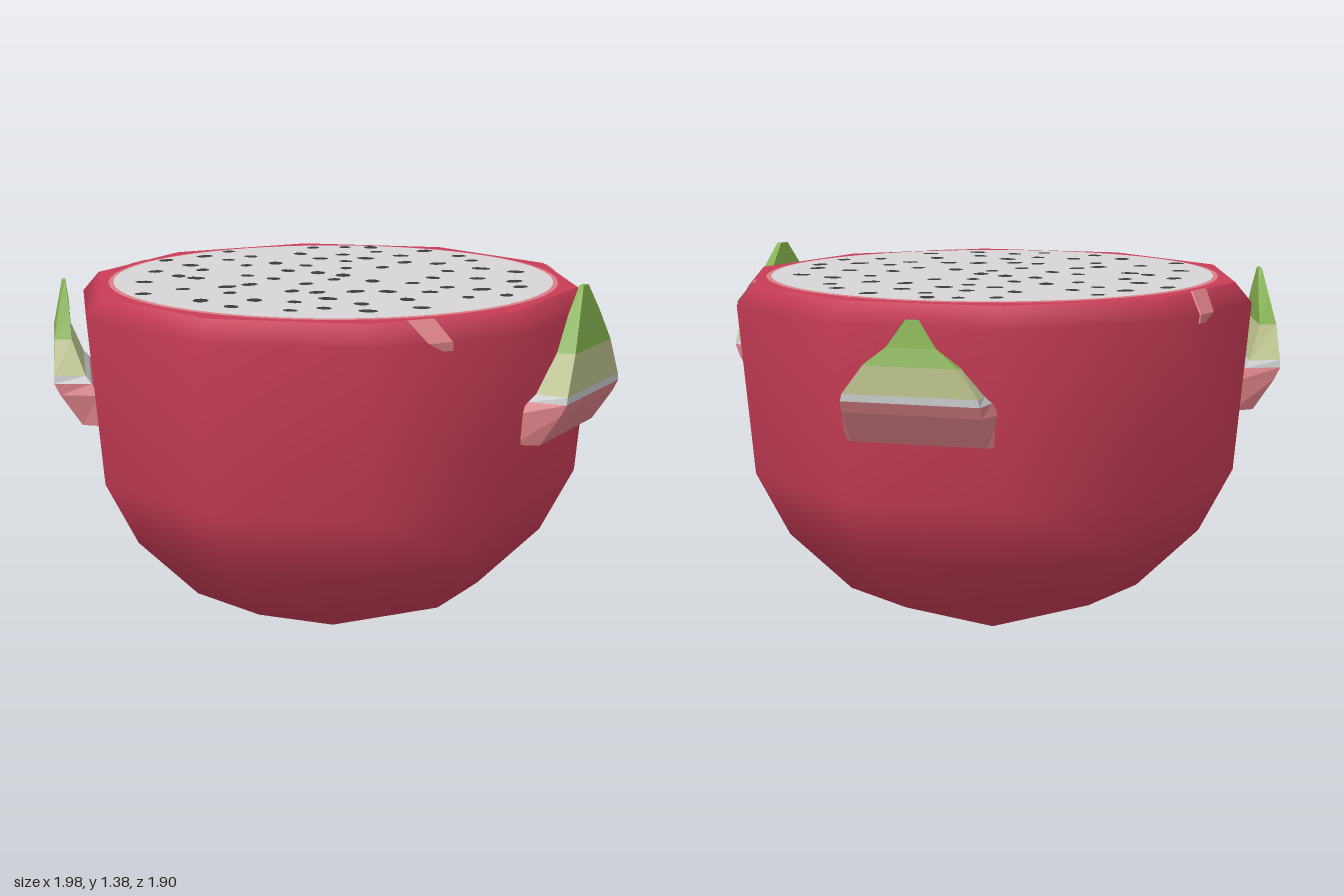
import * as THREE from 'three';
import { mergeGeometries } from 'three/addons/utils/BufferGeometryUtils.js';

const CX = 0.055, CZ = -0.02, TOP = 1.32;
const mat = (name, color) => Object.assign(new THREE.MeshStandardMaterial({ color }), { name });

// Solid through rows [y, outerRadius, outerHalfWidth, innerRadius, innerHalfWidth, sideShift],
// standing on the body's side at the given angle
function loft(angle, rows) {
  const c = Math.cos(angle), s = Math.sin(angle);
  const at = (r, u, y) => [CX + c * r - s * u, y, CZ + s * r + c * u];
  const rings = rows.map(([y, ro, wo, ri, wi, u = 0]) =>
    [at(ro, u + wo, y), at(ro, u - wo, y), at(ri, u - wi, y), at(ri, u + wi, y)]);
  const pos = [];
  const quad = (a, b, d, e) => pos.push(...a, ...b, ...d, ...a, ...d, ...e);
  for (let i = 0; i < rings.length - 1; i++) {
    for (let j = 0; j < 4; j++) {
      const k = (j + 1) % 4;
      quad(rings[i][j], rings[i][k], rings[i + 1][k], rings[i + 1][j]);
    }
  }
  quad(...rings[rings.length - 1]);
  quad(...[...rings[0]].reverse());
  const g = new THREE.BufferGeometry();
  g.setAttribute('position', new THREE.Float32BufferAttribute(pos, 3));
  g.computeVertexNormals();
  return g;
}

// Seed centres on the cut face, as x, z pairs
const SEEDS = [
  -.05, -.75, -.18, -.68, -.35, -.65, .29, -.70, .41, -.66, .50, -.61, .18, -.58, -.02, -.60,
  -.13, -.56, -.31, -.50, .20, -.44, .32, -.49, .47, -.50, .65, -.44, -.48, -.42, -.31, -.38,
  -.12, -.41, 0, -.41, -.44, -.29, .08, -.31, .26, -.34, .36, -.37, .51, -.37, .71, -.27,
  .70, -.15, .55, -.14, .45, -.22, .32, -.15, .19, -.19, .05, -.14, -.03, -.23, -.15, -.09,
  -.21, -.19, -.40, -.22, -.60, -.22, -.69, .01, -.53, -.02, -.37, 0, -.28, -.01, -.09, .06,
  .04, .02, .11, -.05, .15, .11, .38, .14, .50, .03, .64, .03, .72, .15, .52, .22,
  .26, .21, 0, .28, -.13, .24, -.20, .18, -.41, .12, -.56, .22, -.39, .29, -.51, .37,
  -.28, .38, -.15, .37, .10, .33, .23, .40, .33, .34, .42, .43, .61, .33, .57, .44,
  .44, .57, .30, .55, .09, .50, -.09, .51, -.24, .53, -.36, .52, -.13, .64, .06, .66,
];

export function createModel() {
  const model = new THREE.Group();
  model.name = 'halfFruit';
  const skin = mat('skinRed', 0xc83c56), pink = mat('palePink', 0xd87f86);
  const flesh = mat('fleshWhite', 0xd6d4d6), seed = mat('seedDark', 0x3a3a3a);
  const white = mat('greyWhite', 0xc6c8cb), pale = mat('paleGreen', 0xb9c08a);
  const green = mat('leafGreen', 0x82ae4c);
  const add = (parent, name, geo, material) => {
    const m = new THREE.Mesh(geo, material);
    m.name = name;
    parent.add(m);
    return m;
  };

  // Ten-sided bowl of skin with a bevelled rim
  const profile = [[0, 0], [.545, .2], [.77, .42], [.89, .65], [.945, 1.25], [.885, TOP]]
    .map(([r, y]) => new THREE.Vector2(r, y));
  const bowl = new THREE.LatheGeometry(profile, 10, Math.PI / 2).translate(CX, 0, CZ);
  add(model, 'skin', bowl, skin);

  // Cut face: red rim, pink ring and flesh, stacked
  const disc = (r, n, y) => new THREE.CircleGeometry(r, n).rotateX(-Math.PI / 2).translate(CX, y, CZ);
  add(model, 'rim', disc(.885, 10, TOP), skin);
  add(model, 'pinkRing', disc(.812, 64, TOP + .002), pink);
  add(model, 'flesh', disc(.795, 64, TOP + .004), flesh);

  // Seeds: small flat ovals of varied size and direction
  const seeds = [];
  for (let i = 0; i < SEEDS.length; i += 2) {
    const vary = (i * 0.377) % 1;
    seeds.push(new THREE.CircleGeometry(1, 8).scale(.027 + .011 * vary, .023 + .006 * vary, 1)
      .rotateZ(i * 1.7).rotateX(-Math.PI / 2).translate(SEEDS[i], TOP + .007, SEEDS[i + 1]));
  }
  add(model, 'seeds', mergeGeometries(seeds), seed);

  // Pale flecks on the bevel
  const deg = Math.PI / 180;
  for (const [a, u, slant] of [[90, .085, -1], [18, -.19, 1], [234, 0, 1]]) {
    add(model, 'rimFleck', loft(a * deg, [
      [1.22, .902, .018, .895, .018, u + slant * .075],
      [1.25, .904, .045, .897, .045, u + slant * .045],
      [TOP + .001, .847, .05, .84, .05, u],
    ]), pink);
  }

  // Three banded scales, flaring out from the sides
  for (const [a, tip, shift] of [[54, 1.38, 0], [-54, 1.28, -.04], [198, 1.34, -.005]]) {
    const leaf = new THREE.Group();
    leaf.name = 'scale';
    model.add(leaf);
    const mid = tip - .09, split = 1.03 + (tip - 1.03) * .4;
    const rows = [
      [.86, .925, .235, .84, .27],
      [.97, 1.0, .238, .86, .27],
      [1.01, 1.02, .236, .885, .25],
      [1.035, 1.02, .23, .905, .23],
      [split, 1.015, .16, .95, .165],
      [mid, .998, .085, .955, .085],
      [tip, .982, .022, .965, .02],
    ].map(([y, ro, ...rest]) => [y, ro + shift, ...rest]);
    const bands = [['scaleBase', 0, 2, pink], ['scaleLine', 2, 3, white],
      ['scaleMiddle', 3, 4, pale], ['scaleTip', 4, 6, green]];
    for (const [name, from, to, material] of bands) {
      add(leaf, name, loft(a * deg, rows.slice(from, to + 1)), material);
    }
  }
  return model;
}
